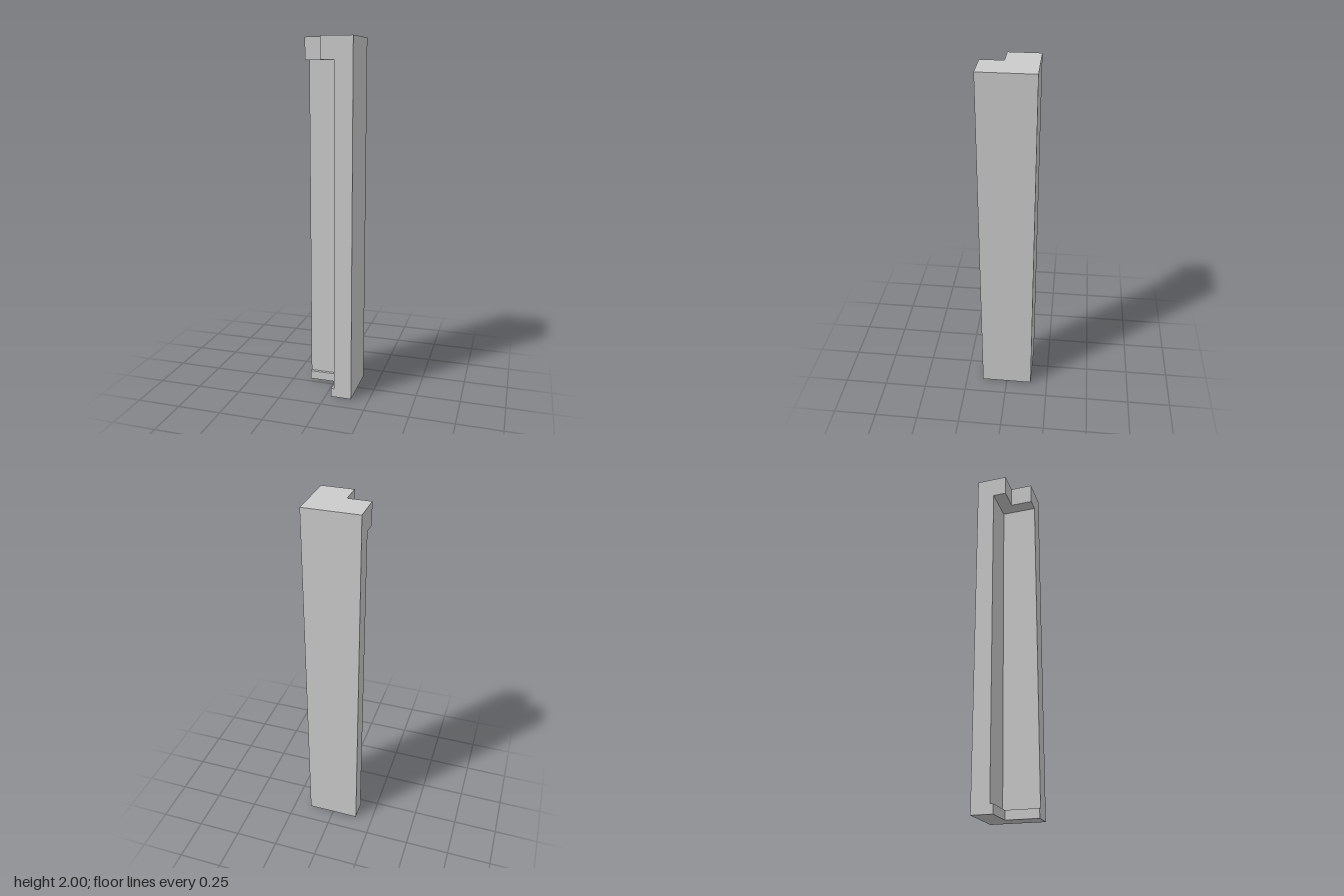
import * as THREE from 'three';

const HALF = 0.15; // half the width of the square footprint

// L-shaped section at height y; a is the position of the inner corner.
// Corners run counter-clockwise seen from above, starting at the outer corner.
function section(y, a) {
  return [
    [HALF, -HALF], [-HALF, -HALF], [-HALF, -a], [a, -a], [a, HALF], [HALF, HALF],
  ].map(([x, z]) => new THREE.Vector3(x, y, z));
}

// Joins stacked sections into one closed solid with flat faces.
function loft(rings) {
  const points = [];
  const addTriangle = (a, b, c) => {
    if (new THREE.Triangle(a, b, c).getArea() > 1e-7) points.push(a, b, c);
  };

  // Walls and horizontal steps
  for (let r = 0; r < rings.length - 1; r++) {
    const low = rings[r], high = rings[r + 1];
    for (let i = 0; i < low.length; i++) {
      const j = (i + 1) % low.length;
      addTriangle(low[i], low[j], high[j]);
      addTriangle(low[i], high[j], high[i]);
    }
  }

  // End faces, fanned from the outer corner
  const bottom = rings[0], top = rings[rings.length - 1];
  for (let i = 1; i < top.length - 1; i++) {
    addTriangle(top[0], top[i], top[i + 1]);
    addTriangle(bottom[0], bottom[i + 1], bottom[i]);
  }

  const geometry = new THREE.BufferGeometry().setFromPoints(points);
  geometry.computeVertexNormals();
  return geometry;
}

export function createModel() {
  const group = new THREE.Group();
  group.name = 'cornerPillar';

  // Foot, slender shaft and thicker head
  const pillar = new THREE.Mesh(
    loft([
      section(0, 0.033), section(0.05, 0.033),
      section(0.05, 0.05), section(1.88, 0.05),
      section(1.88, -0.025), section(2, -0.025),
    ]),
    new THREE.MeshStandardMaterial({ color: 0xcccccc, flatShading: true }),
  );
  pillar.name = 'pillar';
  group.add(pillar);
  return group;
}
